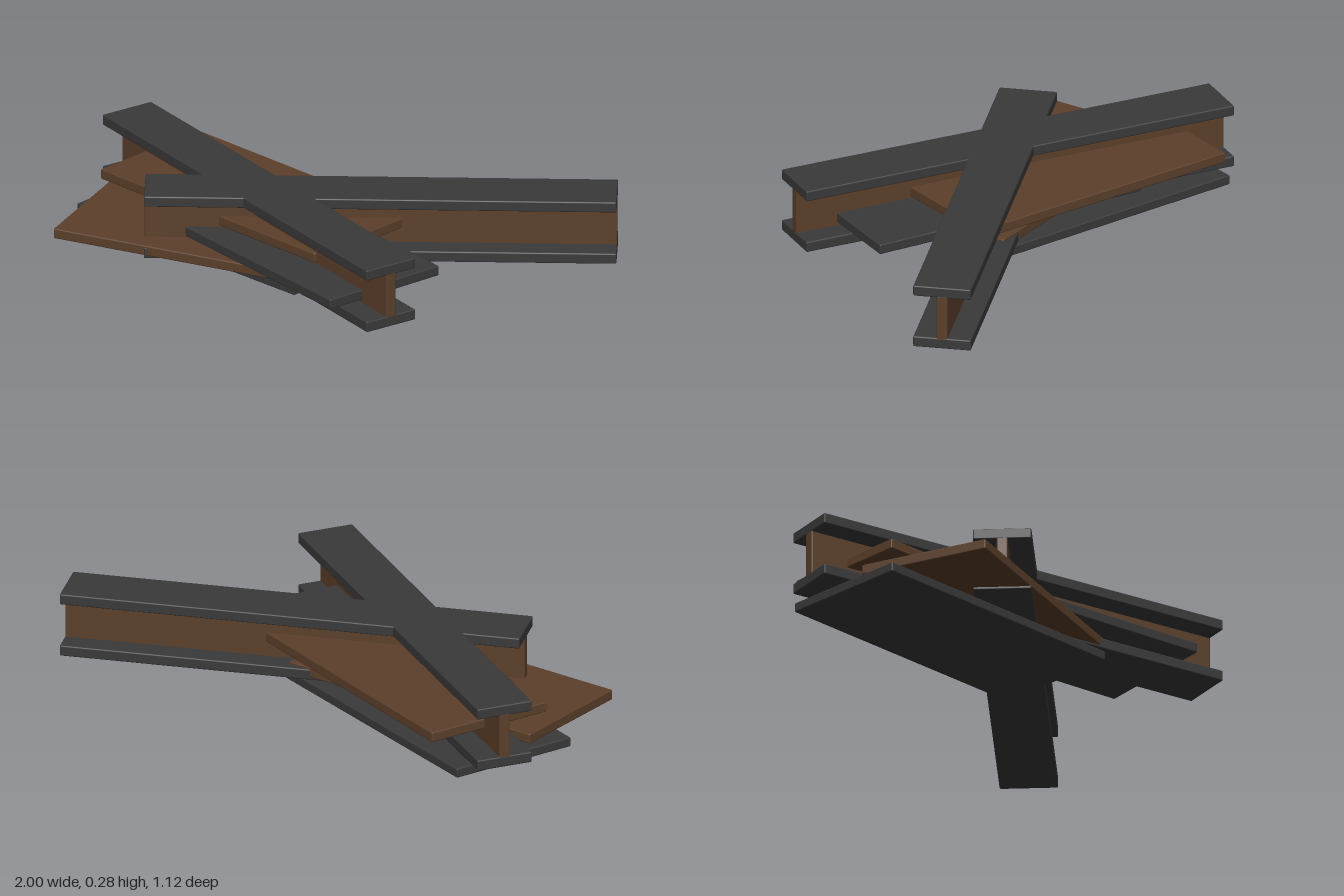
import * as THREE from 'three';
import { RoundedBoxGeometry } from 'three/addons/geometries/RoundedBoxGeometry.js';

const steel = new THREE.MeshStandardMaterial({ color: 0x3a3a3a });
steel.name = 'darkSteel';
const rust = new THREE.MeshStandardMaterial({ color: 0x5c402a });
rust.name = 'rustBrown';

const BEAM_LENGTH = 1.69, FLANGE_WIDTH = 0.21, WEB_THICKNESS = 0.04;
const PLATE_LENGTH = 1.075, PLATE_WIDTH = 0.495;

// Slab with softly worn edges, placed by its bottom and top heights
function slab(name, length, width, y0, y1, material) {
  const geometry = new RoundedBoxGeometry(length, y1 - y0, width, 2, 0.005);
  const mesh = new THREE.Mesh(geometry, material);
  mesh.name = name;
  mesh.position.y = (y0 + y1) / 2;
  return mesh;
}

// I-beam: two dark flanges joined by a rusty web
function beam(name, x, z, degrees) {
  const group = new THREE.Group();
  group.name = name;
  group.add(
    slab('bottomFlange', BEAM_LENGTH, FLANGE_WIDTH, 0.036, 0.076, steel),
    slab('web', BEAM_LENGTH, WEB_THICKNESS, 0.07, 0.242, rust),
    slab('topFlange', BEAM_LENGTH, FLANGE_WIDTH, 0.236, 0.276, steel)
  );
  group.position.set(x, 0, z);
  group.rotation.y = THREE.MathUtils.degToRad(degrees);
  return group;
}

// Loose scrap plate lying flat
function plate(name, x, z, degrees, y0, y1, material) {
  const mesh = slab(name, PLATE_LENGTH, PLATE_WIDTH, y0, y1, material);
  mesh.position.x = x;
  mesh.position.z = z;
  mesh.rotation.y = THREE.MathUtils.degToRad(degrees);
  return mesh;
}

export function createModel() {
  const model = new THREE.Group();
  model.name = 'scrapPile';

  // Crossed beams
  model.add(
    beam('longRightBeam', 0.177, -0.14, 22.9),
    beam('longLeftBeam', -0.226, 0.028, -31.3)
  );

  // Plates stacked between and under the beams, lowest first
  model.add(
    plate('groundPlate', -0.395, -0.12, -19, 0, 0.036, steel),
    plate('lowerRustyPlate', -0.38, 0.036, -0.5, 0.046, 0.084, rust),
    plate('middleSteelPlate', -0.08, 0.066, -27, 0.087, 0.125, steel),
    plate('upperRustyPlate', -0.318, -0.149, -20, 0.13, 0.168, rust)
  );
  return model;
}
